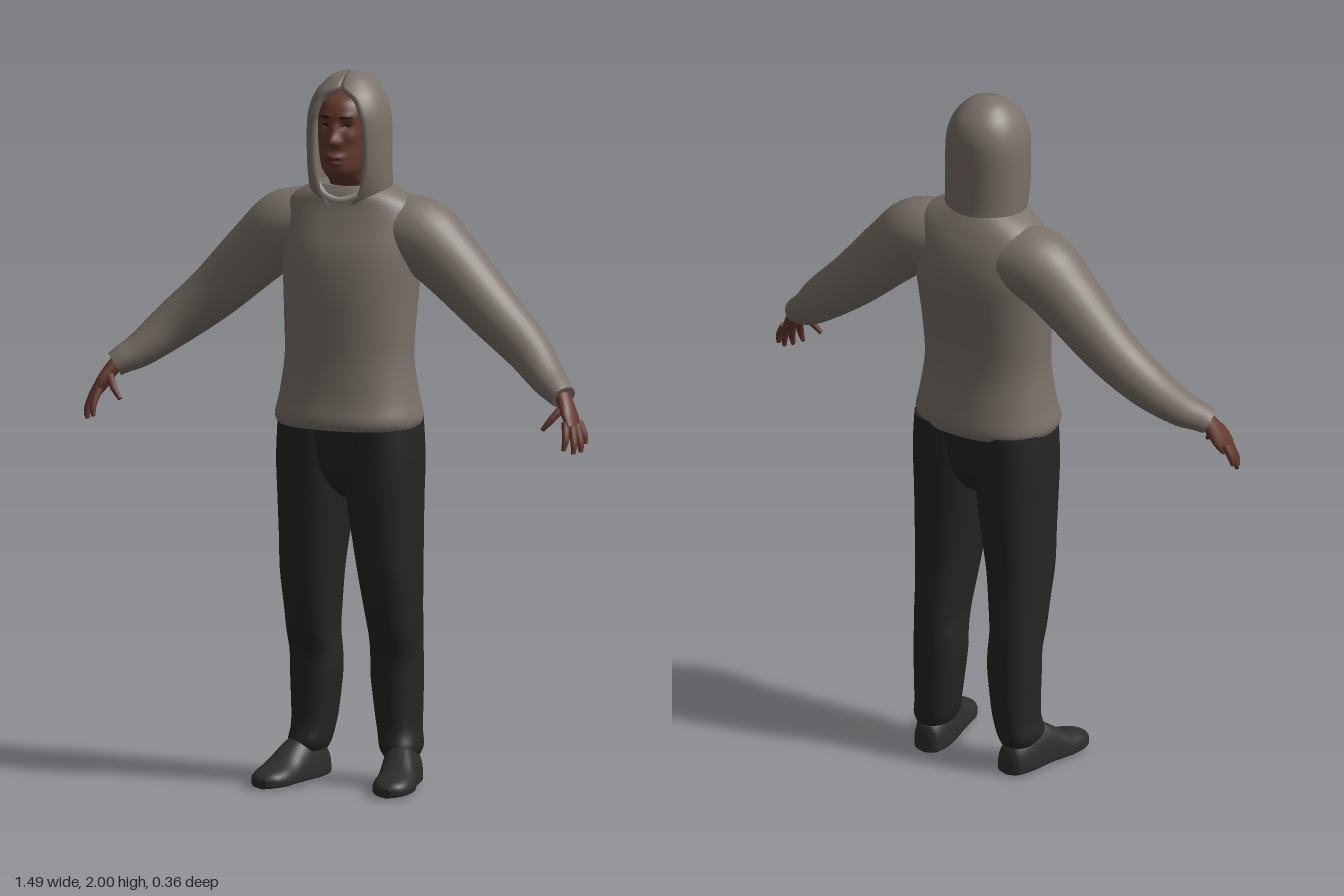
import * as THREE from 'three';

const mat = (name, color, side = THREE.FrontSide) => {
  const m = new THREE.MeshStandardMaterial({ color, side });
  m.name = name;
  return m;
};

// Catmull-Rom refinement of a table of rows
function smooth(rows, steps) {
  const out = [], last = rows.length - 1;
  for (let i = 0; i < last; i++) {
    const [a, b, c, d] = [rows[Math.max(i - 1, 0)], rows[i], rows[i + 1], rows[Math.min(i + 2, last)]];
    for (let s = 0; s < steps; s++) {
      const t = s / steps;
      out.push(b.map((_, k) => 0.5 * (2 * b[k] + (c[k] - a[k]) * t +
        (2 * a[k] - 5 * b[k] + 4 * c[k] - d[k]) * t * t + (3 * b[k] - a[k] - 3 * c[k] + d[k]) * t ** 3)));
    }
  }
  out.push(rows[last]);
  return out;
}

// Skin over closed rings of [x, y, z]; rings run counter-clockwise about the travel direction
function loft(rings, caps = true) {
  const n = rings[0].length, pos = rings.flat(2), idx = [];
  for (let i = 0; i < rings.length - 1; i++) for (let j = 0; j < n; j++) {
    const a = i * n + j, b = i * n + (j + 1) % n;
    idx.push(a, b, b + n, a, b + n, a + n);
  }
  if (caps) [rings[0], rings[rings.length - 1]].forEach((ring, end) => {
    const base = pos.length / 3;
    pos.push(...ring.flat());
    pos.push(...[0, 1, 2].map(k => ring.reduce((s, p) => s + p[k], 0) / n));
    for (let j = 0; j < n; j++) {
      const a = base + j, b = base + (j + 1) % n;
      idx.push(base + n, end ? a : b, end ? b : a);
    }
  });
  const g = new THREE.BufferGeometry();
  g.setAttribute('position', new THREE.Float32BufferAttribute(pos, 3));
  g.setIndex(idx);
  g.computeVertexNormals();
  return g;
}

const spow = (v, e) => Math.sign(v) * Math.abs(v) ** e;

// Horizontal rounded ring between x0..x1 and zb..zf
function ring(y, x0, x1, zf, zb, n = 2.3, seg = 40) {
  return Array.from({ length: seg }, (_, j) => {
    const t = j / seg * Math.PI * 2;
    return [(x0 + x1) / 2 + (x1 - x0) / 2 * spow(Math.sin(t), 2 / n), y,
      (zf + zb) / 2 + (zf - zb) / 2 * spow(Math.cos(t), 2 / n)];
  });
}

// Elliptical sweep through rows of [x, y, z, radius, radius towards z]
function sweep(rows, steps, seg) {
  const r = smooth(rows, steps);
  return loft(r.map((p, i) => {
    const a = new THREE.Vector3(...r[Math.max(i - 1, 0)]), b = new THREE.Vector3(...r[Math.min(i + 1, r.length - 1)]);
    const dir = b.sub(a).normalize();
    const side = new THREE.Vector3(0, 0, 1).addScaledVector(dir, -dir.z).normalize();
    const up = dir.clone().cross(side);
    return Array.from({ length: seg }, (_, j) => {
      const t = j / seg * Math.PI * 2;
      return new THREE.Vector3(p[0], p[1], p[2]).addScaledVector(side, Math.cos(t) * p[4])
        .addScaledVector(up, Math.sin(t) * p[3]).toArray();
    });
  }));
}

function mirrored(g) {
  const m = g.clone().scale(-1, 1, 1), ix = m.index.array;
  for (let i = 0; i < ix.length; i += 3) [ix[i], ix[i + 1]] = [ix[i + 1], ix[i]];
  m.computeVertexNormals();
  return m;
}

export function createModel() {
  const model = new THREE.Group();
  const cloth = mat('hoodie grey', 0x7a7168), trouser = mat('trouser black', 0x252526),
    shoeMat = mat('shoe charcoal', 0x2d2d2e), soleMat = mat('sole grey', 0x55524e),
    skin = mat('skin', 0x643a2e), lipMat = mat('lips', 0x542a26, THREE.DoubleSide),
    dark = mat('brow and eye', 0x2a1914, THREE.DoubleSide), shirt = mat('shirt grey', 0x98928c);
  const add = (name, geo, m) => {
    const mesh = new THREE.Mesh(geo, m);
    mesh.name = name;
    model.add(mesh);
  };
  const pair = (name, geo, m) => {
    add('left' + name, geo, m);
    add('right' + name, mirrored(geo), m);
  };

  // Hoodie body: y, half width, front z, back z
  add('hoodieBody', loft(smooth([
    [1.015, .2, .143, -.152], [1.04, .208, .149, -.16], [1.1, .195, .137, -.152], [1.2, .181, .128, -.142],
    [1.3, .184, .126, -.15], [1.4, .19, .124, -.166], [1.5, .198, .112, -.178], [1.58, .2, .086, -.166],
    [1.63, .185, .07, -.146], [1.66, .15, .064, -.13], [1.685, .1, .05, -.115]], 4)
    .map(([y, w, f, b]) => ring(y, -w, w, f, b))), cloth);

  // Sleeves and cuffs
  pair('Sleeve', sweep([
    [.08, 1.555, -.05, .09, .1], [.19, 1.545, -.05, .106, .104], [.28, 1.475, -.048, .094, .09],
    [.41, 1.35, -.042, .078, .074], [.52, 1.257, -.02, .065, .064], [.6, 1.187, .025, .05, .053],
    [.645, 1.158, .057, .04, .044], [.668, 1.143, .07, .035, .04]], 5, 28), cloth);

  // Hood shell: y, half width, front z, back z, half width of the face opening
  const arc = 40;
  add('hood', loft(smooth([
    [1.635, .108, .07, -.13, .03], [1.68, .115, .085, -.12, .06], [1.75, .117, .1, -.118, .077],
    [1.85, .116, .106, -.12, .077], [1.9, .109, .103, -.118, .067], [1.94, .093, .086, -.105, .046],
    [1.966, .073, .062, -.085, .004], [1.986, .05, .035, -.06, 0], [1.997, .022, .004, -.032, 0],
    [2, .002, -.012, -.016, 0]], 4).map(([y, w, f, b, g]) => {
    const t0 = Math.asin((Math.max(g, 0) / w) ** 1.1), pts = [];
    for (let k = 0; k < 2 * arc + 2; k++) {
      const inner = k > arc, j = inner ? 2 * arc + 1 - k : k, s = inner ? .88 : 1;
      const t = t0 + (Math.PI * 2 - 2 * t0) * j / arc;
      pts.push([s * w * spow(Math.sin(t), 1 / 1.1), y - (inner ? .012 : 0),
        (f + b) / 2 + s * (f - b) / 2 * spow(Math.cos(t), 1 / 1.1)]);
    }
    return pts;
  }), false), cloth);

  // Shirt collar under the chin
  const collar = new THREE.CatmullRomCurve3([[-.068, 1.685, .055], [-.04, 1.66, .068], [0, 1.65, .074],
    [.04, 1.66, .068], [.068, 1.685, .055]].map(p => new THREE.Vector3(...p)));
  add('shirtCollar', new THREE.TubeGeometry(collar, 24, .009, 8), shirt);

  // Head and neck: y, half width, front z, back z, plus soft facial bumps
  const headRows = smooth([
    [1.6, .055, .03, -.06], [1.68, .055, .042, -.07], [1.705, .052, .072, -.075], [1.722, .053, .1, -.08],
    [1.74, .061, .111, -.085], [1.77, .07, .108, -.09], [1.81, .076, .104, -.095], [1.86, .078, .103, -.095],
    [1.9, .074, .1, -.09], [1.93, .06, .083, -.075], [1.95, .03, .045, -.045]], 7);
  const bumps = [[0, 1.822, .014, .015, .028], [0, 1.85, .009, .022, .014], [.014, 1.815, .008, .008, .01],
    [0, 1.776, .024, .008, .014], [0, 1.76, .02, .008, .011], [.03, 1.862, .015, .01, -.011],
    [.03, 1.888, .022, .009, .005], [.045, 1.83, .016, .014, .005]];
  const bump = (x, y) => bumps.reduce((s, [bx, by, sx, sy, a]) =>
    s + a * Math.exp(-(((Math.abs(x) - bx) / sx) ** 2) - ((y - by) / sy) ** 2), 0);
  add('head', loft(headRows.map(([y, w, f, b]) => ring(y, -w, w, f, b, 2.2, 80)
    .map(([x, , z]) => [x, y, z > .02 ? z + bump(x, y) : z]))), skin);

  // Thin facial patches that follow the face
  const faceZ = (x, y) => {
    const i = Math.max(1, headRows.findIndex(r => r[0] >= y)), a = headRows[i - 1], c = headRows[i];
    const t = (y - a[0]) / (c[0] - a[0]), [, w, f, b] = a.map((v, k) => v + (c[k] - v) * t);
    return (f + b) / 2 + (f - b) / 2 * (1 - (Math.abs(x) / w) ** 2.2) ** (1 / 2.2) + bump(x, y);
  };
  const patch = (cx, cy, rx, ry, tilt = 0) => {
    const g = new THREE.RingGeometry(0, 1, 24, 4), p = g.attributes.position;
    for (let i = 0; i < p.count; i++) {
      const x = cx + p.getX(i) * rx, y = cy + p.getY(i) * ry + p.getX(i) * tilt;
      p.setXYZ(i, x, y, faceZ(x, y) + .002);
    }
    g.computeVertexNormals();
    return g;
  };
  add('lips', patch(0, 1.768, .025, .011), lipMat);
  pair('Eye', patch(.03, 1.862, .012, .0045), dark);
  pair('Eyebrow', patch(.031, 1.886, .018, .0035, -.001), dark);

  // Hands: palm, four fingers and thumb
  pair('Palm', sweep([[.655, 1.155, .062, .022, .024], [.676, 1.128, .075, .02, .03],
    [.695, 1.095, .088, .018, .038], [.712, 1.064, .1, .012, .034]], 4, 18), skin);
  const fingers = [
    [[.694, 1.082, .119], [.703, 1.04, .14], [.699, 1.008, .148]],
    [[.707, 1.075, .107], [.722, 1.03, .126], [.723, .998, .134]],
    [[.714, 1.074, .092], [.732, 1.03, .104], [.736, 1.0, .11]],
    [[.716, 1.08, .077], [.734, 1.045, .081], [.739, 1.02, .084]],
    [[.676, 1.122, .09], [.652, 1.088, .117], [.628, 1.058, .128]]];
  fingers.forEach((pts, i) => pair(i < 4 ? 'Finger' + (i + 1) : 'Thumb',
    sweep(pts.map((p, k) => [...p, ...Array(2).fill([.0115, .01, .006][k])]), 4, 10), skin));

  // Trousers: hips, then legs as y, inner x, outer x, front z, back z
  add('trouserHips', loft(smooth([[.81, .02, .03, -.06], [.84, .09, .07, -.1], [.9, .17, .1, -.132],
    [1.03, .198, .112, -.145]], 5).map(([y, w, f, b]) => ring(y, -w, w, f, b))), trouser);
  pair('TrouserLeg', loft(smooth([
    [.085, .092, .183, .012, -.118], [.11, .08, .192, .022, -.128], [.15, .071, .187, .012, -.133],
    [.2, .062, .187, .01, -.136], [.3, .05, .19, .014, -.137], [.36, .05, .19, .018, -.136],
    [.42, .053, .192, .04, -.135], [.5, .045, .194, .062, -.132], [.6, .033, .199, .085, -.13],
    [.7, .018, .2, .095, -.135], [.82, .001, .203, .106, -.14], [.92, -.005, .206, .11, -.143],
    [1.03, -.005, .2, .112, -.143]], 4).map(([y, a, b, f, k]) => ring(y, a, b, f, k, 2.4, 32))), trouser);

  // Shoes: z, centre x, half width, height
  pair('Shoe', loft(smooth([
    [-.122, .135, .018, .06], [-.11, .136, .04, .09], [-.06, .142, .052, .12], [0, .152, .053, .125],
    [.04, .163, .055, .102], [.08, .173, .058, .073], [.13, .179, .055, .057], [.165, .182, .038, .045],
    [.18, .183, .012, .03]], 4).map(([z, cx, w, h]) => Array.from({ length: 32 }, (_, j) => {
    const t = j / 32 * Math.PI * 2, s = Math.sin(t), base = .022;
    return [cx + w * spow(Math.cos(t), .8), s > 0 ? base + (h - base) * s ** .9 : base - (base - .004) * (-s) ** .4, z];
  }))), shoeMat);

  // Sole pads
  [[.138, -.075, .026, .03], [.16, .01, .028, .024], [.176, .085, .036, .035]].forEach(([x, z, rx, rz], i) =>
    pair('SolePad' + (i + 1), new THREE.CylinderGeometry(1, 1, .006, 20).scale(rx, 1, rz).translate(x, .003, z), soleMat));

  return model;
}
